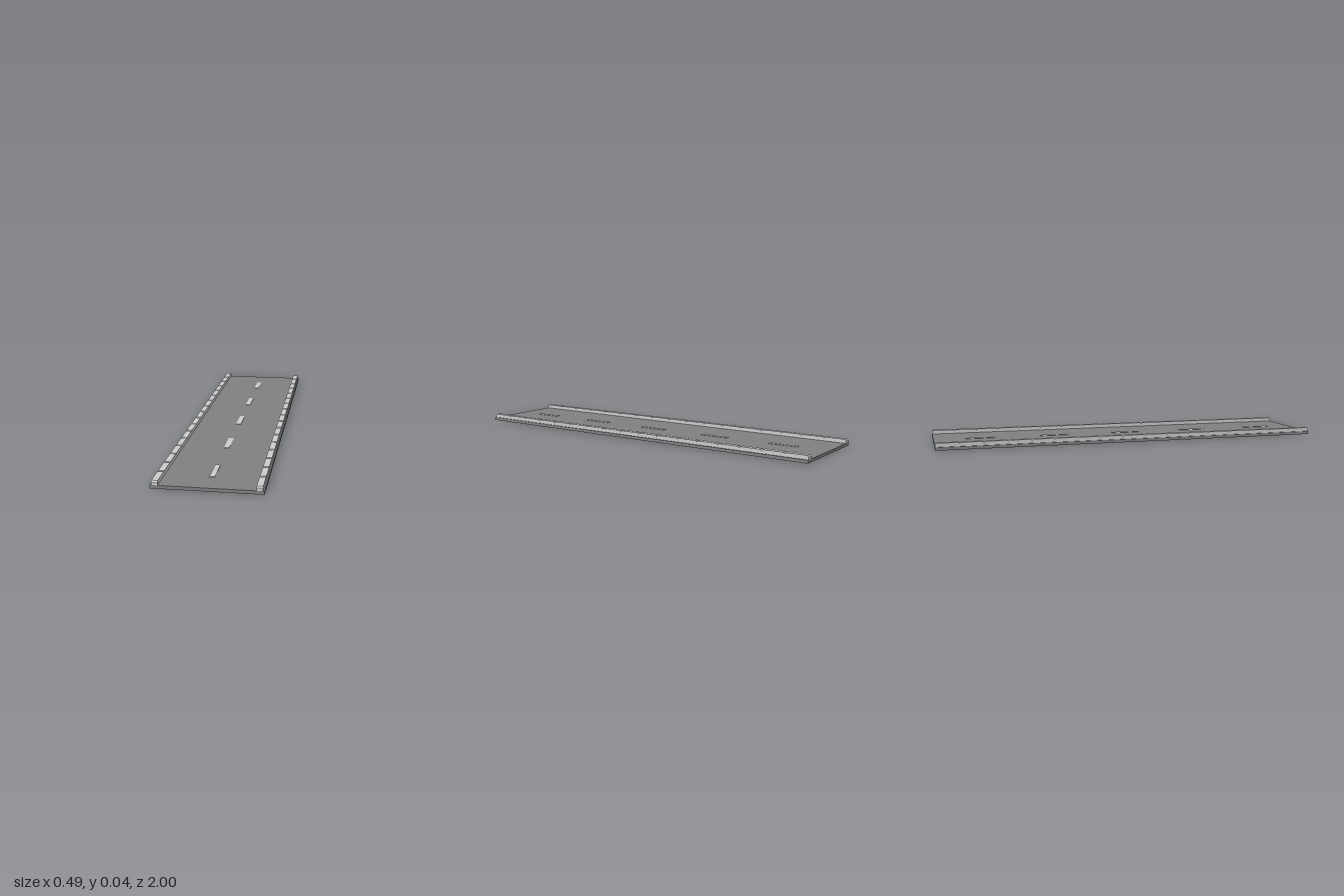
import * as THREE from 'three';

const asphalt = new THREE.MeshStandardMaterial({ color: 0x808080 });
const stone = new THREE.MeshStandardMaterial({ color: 0xcccccc });

function box(name, material, w, h, d, x, y, z) {
  const mesh = new THREE.Mesh(new THREE.BoxGeometry(w, h, d), material);
  mesh.name = name;
  mesh.position.set(x, y, z);
  return mesh;
}

// Kerb stone: side profile with sloped top ends, extruded across its width
function kerbGeometry(length, height, width, chamfer) {
  const h = length / 2;
  const profile = new THREE.Shape([
    new THREE.Vector2(-h, 0),
    new THREE.Vector2(h, 0),
    new THREE.Vector2(h, height - chamfer),
    new THREE.Vector2(h - chamfer, height),
    new THREE.Vector2(-h + chamfer, height),
    new THREE.Vector2(-h, height - chamfer),
  ]);
  return new THREE.ExtrudeGeometry(profile, { depth: width, bevelEnabled: false })
    .translate(0, 0, -width / 2)
    .rotateY(Math.PI / 2);
}

export function createModel() {
  const road = new THREE.Group();
  road.name = 'road';

  // Road slab
  const top = 0.0155;
  road.add(box('roadSlab', asphalt, 0.491, top, 2, 0, top / 2, 0));

  // Centre line dashes
  for (let i = 0; i < 5; i++) {
    road.add(box('laneDash', stone, 0.025, 0.004, 0.15, 0, top, 0.016 + (i - 2) * 0.39));
  }

  // Kerb stones along both edges
  const count = 17;
  const pitch = 2 / count;
  const geometry = kerbGeometry(pitch, 0.0195, 0.028, 0.0065);
  for (const side of [-1, 1]) {
    const kerb = new THREE.Group();
    kerb.name = side > 0 ? 'leftKerb' : 'rightKerb';
    for (let i = 0; i < count; i++) {
      const mesh = new THREE.Mesh(geometry, stone);
      mesh.name = 'kerbStone';
      mesh.position.set(side * 0.225, top, -1 + (i + 0.5) * pitch);
      kerb.add(mesh);
    }
    road.add(kerb);
  }
  return road;
}
